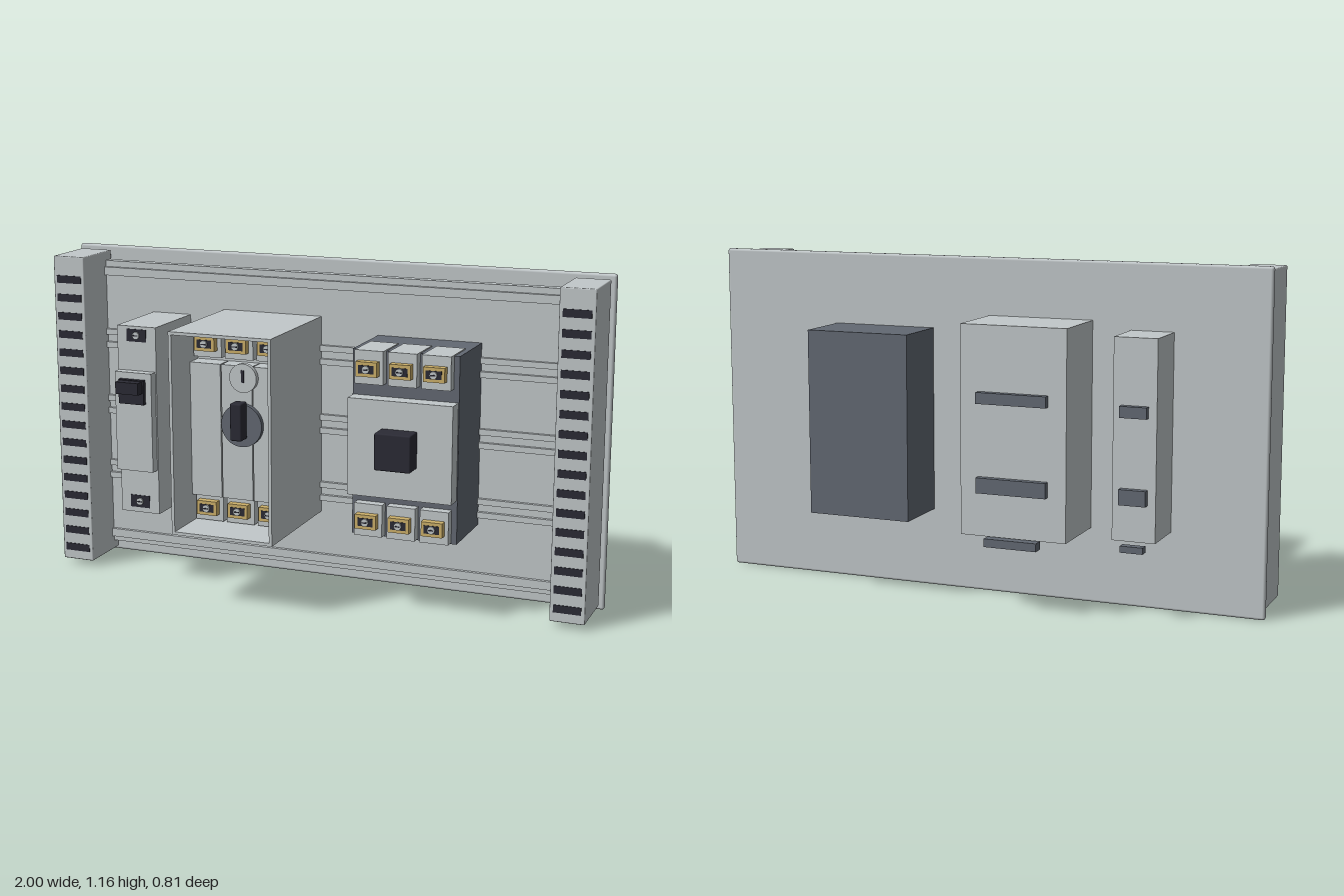
import * as THREE from 'three';
import { RoundedBoxGeometry } from 'three/addons/geometries/RoundedBoxGeometry.js';

const material = (name, color) => {
  const m = new THREE.MeshStandardMaterial({ color });
  m.name = name;
  return m;
};

export function createModel() {
  const light = material('light grey', 0xc2c8ca);
  const dark = material('dark grey', 0x636973);
  const black = material('black', 0x2b2b35);
  const brass = material('brass', 0xcdb06a);
  const amber = material('amber', 0xd0a050);

  const model = new THREE.Group();
  model.name = 'switchPanel';

  const group = (name) => {
    const g = new THREE.Group();
    g.name = name;
    model.add(g);
    return g;
  };
  const add = (parent, name, geometry, mat, x = 0, y = 0, z = 0) => {
    const mesh = new THREE.Mesh(geometry, mat);
    mesh.name = name;
    mesh.position.set(x, y, z);
    parent.add(mesh);
    return mesh;
  };
  // Box given by its limits on each axis, optionally with rounded edges
  const box = (parent, name, mat, [x0, x1], [y0, y1], [z0, z1], r = 0) => {
    const s = [x1 - x0, y1 - y0, z1 - z0];
    const geo = r ? new RoundedBoxGeometry(...s, 2, r) : new THREE.BoxGeometry(...s);
    return add(parent, name, geo, mat, (x0 + x1) / 2, (y0 + y1) / 2, (z0 + z1) / 2);
  };
  const around = (c, w) => [c - w / 2, c + w / 2];
  // Disc facing the front, with its back at z0 and its face at z1
  const disc = (parent, name, mat, x, y, r, z0, z1, sides = 32) => {
    const geo = new THREE.CylinderGeometry(r, r, z1 - z0, sides).rotateX(Math.PI / 2);
    return add(parent, name, geo, mat, x, y, (z0 + z1) / 2);
  };
  const screw = (parent, x, y, z) => {
    disc(parent, 'screwHead', light, x, y, 0.013, z, z + 0.006, 16);
    box(parent, 'screwSlot', black, around(x, 0.018), around(y, 0.004), [z + 0.006, z + 0.008]);
  };
  // Brass clamp with a dark opening and a screw
  const clamp = (parent, x, y, z) => {
    box(parent, 'brassClamp', brass, around(x, 0.074), around(y, 0.05), [z, z + 0.027]);
    box(parent, 'clampOpening', black, around(x, 0.054), around(y, 0.028), [z + 0.027, z + 0.029]);
    screw(parent, x, y, z + 0.029);
  };

  // Back plate
  const plate = group('backPlate');
  box(plate, 'plate', light, [-1, 1], [0, 1.165], [-0.127, -0.103], 0.009);

  // Mounting panel with raised rails on its face
  const mounting = group('mountingPanel');
  const span = [-0.87, 0.87];
  box(mounting, 'panel', light, span, [0.053, 1.117], [-0.08, -0.046]);
  for (const y of [1.08, 0.0875]) box(mounting, 'edgeRail', light, span, around(y, 0.03), [-0.046, -0.033]);
  for (const y of [0.832, 0.584, 0.337]) {
    for (const d of [-0.024, 0.024]) {
      box(mounting, 'railFlange', light, span, around(y + d, 0.021), [-0.046, -0.033]);
    }
  }

  // Slotted wiring ducts on both sides
  for (const side of [-1, 1]) {
    const duct = group(side > 0 ? 'leftDuct' : 'rightDuct');
    const x = side * 0.925;
    box(duct, 'ductBody', light, around(x, 0.121), [0.02, 1.15], [-0.086, 0.121], 0.004);
    for (let i = 0; i < 16; i++) {
      box(duct, 'ductSlot', black, around(x, 0.096), around(0.067 + i * 0.0667, 0.027), [0.119, 0.1235]);
    }
  }

  // Dark bars on the back of a device
  const rearBars = (parent, x, w, z, yTop, yMid) => {
    box(parent, 'rearBar', dark, around(x, w), around(yTop, 0.038), [z - 0.024, z]);
    box(parent, 'rearBar', dark, around(x, w), around(yMid, 0.052), [z - 0.024, z]);
  };

  // Narrow breaker
  const breaker = group('narrowBreaker');
  const bx = -0.601;
  box(breaker, 'breakerBody', light, around(bx, 0.148), [0.27, 0.94], [-0.304, 0.234]);
  box(breaker, 'breakerFront', light, around(bx, 0.14), [0.43, 0.783], [0.234, 0.268]);
  box(breaker, 'toggleBase', black, around(bx, 0.096), [0.674, 0.76], [0.268, 0.285]);
  box(breaker, 'toggle', black, around(bx, 0.086), [0.715, 0.757], [0.285, 0.317]);
  for (const y of [0.908, 0.31]) {
    box(breaker, 'terminalOpening', black, around(bx, 0.075), around(y, 0.044), [0.234, 0.236]);
    screw(breaker, bx, y, 0.236);
  }
  rearBars(breaker, bx, 0.092, -0.304, 0.7, 0.42);
  box(breaker, 'lowerBar', dark, around(bx, 0.078), [0.236, 0.258], [-0.325, -0.296]);

  // Deep enclosure with an open front
  const enclosure = group('switchEnclosure');
  const ex = -0.207;
  box(enclosure, 'enclosureBody', light, around(ex, 0.372), [0.26, 0.967], [-0.376, 0.2]);
  const rim = new THREE.Shape();
  const rect = (path, w, h) => path.moveTo(-w, -h).lineTo(w, -h).lineTo(w, h).lineTo(-w, h).closePath();
  rect(rim, 0.186, 0.3535);
  const hole = new THREE.Path();
  rect(hole, 0.175, 0.3425);
  rim.holes.push(hole);
  add(enclosure, 'enclosureRim', new THREE.ExtrudeGeometry(rim, { depth: 0.205, bevelEnabled: false }),
    light, ex, 0.6135, 0.2);
  for (const i of [-1, 0, 1]) {
    const x = ex + i * 0.117;
    box(enclosure, 'switchPole', light, around(x, 0.113), [0.368, 0.838], [0.2, 0.266]);
    for (const y of [0.905, 0.325]) {
      box(enclosure, 'terminalBlock', light, around(x, 0.104), around(y, 0.1), [0.2, 0.245]);
      clamp(enclosure, x, y, 0.245);
    }
  }
  disc(enclosure, 'keyLock', light, -0.176, 0.8, 0.05, 0.266, 0.284);
  box(enclosure, 'keySlot', black, around(-0.176, 0.01), around(0.807, 0.042), [0.284, 0.288]);
  disc(enclosure, 'rotaryDial', dark, -0.183, 0.635, 0.075, 0.266, 0.284);
  box(enclosure, 'rotaryHandle', black, around(-0.182, 0.042), [0.592, 0.722], [0.284, 0.335], 0.006);
  box(enclosure, 'indicator', amber, around(-0.068, 0.034), around(0.778, 0.027), [0.266, 0.273]);
  rearBars(enclosure, ex, 0.246, -0.376, 0.727, 0.435);
  box(enclosure, 'lowerBar', dark, around(ex, 0.185), [0.23, 0.258], [-0.403, -0.366]);

  // Dark three pole breaker
  const poles = group('threePoleBreaker');
  const cx = 0.375;
  box(poles, 'darkBody', dark, around(cx, 0.372), [0.275, 0.915], [-0.345, 0.2]);
  box(poles, 'frontCover', light, around(cx, 0.366), [0.427, 0.76], [0.19, 0.258]);
  box(poles, 'pushKnob', black, around(cx, 0.126), [0.54, 0.666], [0.258, 0.33], 0.005);
  for (const i of [-1, 0, 1]) {
    const x = cx + i * 0.117;
    box(poles, 'upperBlock', light, around(x, 0.1), [0.805, 0.919], [0.08, 0.234]);
    box(poles, 'lowerBlock', light, around(x, 0.1), [0.28, 0.393], [0.08, 0.234]);
    clamp(poles, x, 0.86, 0.234);
    clamp(poles, x, 0.336, 0.234);
  }

  return model;
}
